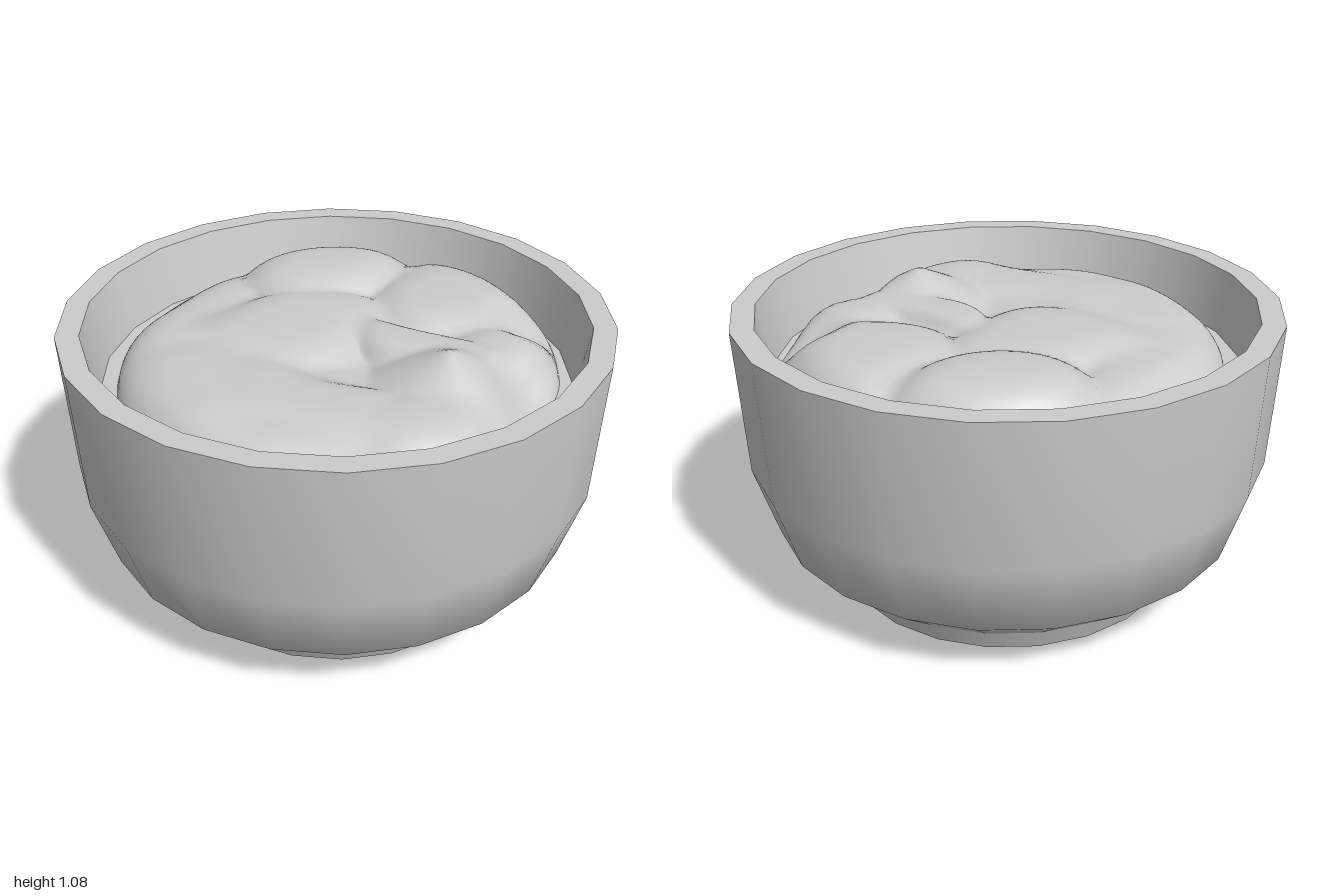
import * as THREE from 'three';
import { mergeVertices } from 'three/addons/utils/BufferGeometryUtils.js';

const SIDES = 22;
const RIM = 1.07;
const FLOOR = 0.84;
const BASE = 0.95;

// Folds of the filling: centre x, centre z, half length, half width, turn, top height
const FOLDS = [
  [-0.1, -0.16, 0.4, 0.28, 0.3, 1.02],
  [-0.5, 0.08, 0.36, 0.34, 0.2, 0.99],
  [-0.4, -0.42, 0.42, 0.18, -0.6, 0.98],
  [-0.2, 0.42, 0.55, 0.2, 1.0, 1.0],
  [-0.5, 0.4, 0.35, 0.16, 0.8, 0.98],
  [0.02, 0.62, 0.25, 0.2, 0.2, 1.0],
  [0.55, -0.14, 0.36, 0.34, -0.5, 1.025],
  [0.25, 0.24, 0.36, 0.12, 1.1, 1.02],
  [0.48, 0.34, 0.28, 0.16, -0.7, 1.0],
];

// Radius of the filling every 30 degrees, from +x towards +z
const OUTLINE = [0.86, 0.82, 0.78, 0.86, 0.85, 0.82, 0.81, 0.8, 0.79, 0.8, 0.82, 0.84];

// Blends two heights with a rounded seam
const smoothMax = (a, b, k) => Math.max(a, b) + Math.max(k - Math.abs(a - b), 0) ** 2 / (4 * k);

function foldHeight(x, z, [cx, cz, a, b, turn, top]) {
  const dx = x - cx, dz = z - cz;
  const u = (dx * Math.cos(turn) + dz * Math.sin(turn)) / a;
  const v = (dz * Math.cos(turn) - dx * Math.sin(turn)) / b;
  return BASE + (top - BASE) * (1 - (u * u + v * v) ** 2);
}

function fillingHeight(x, z) {
  const wx = x + 0.04 * Math.sin(9 * z + 3 * x);
  const wz = z + 0.04 * Math.sin(8 * x - 3 * z);
  let y = BASE + 0.012 * Math.sin(10 * wx + 3) * Math.sin(9 * wz);
  for (const fold of FOLDS) y = smoothMax(y, foldHeight(wx, wz, fold), 0.03);
  // Broad smooth scoop at the back, with a sharper edge
  y = smoothMax(y, foldHeight(x, z, [0.22, -0.53, 0.36, 0.3, 0, 1.05]), 0.008);
  // Pointed peak near the front, then dips at the right and front right
  const near = (px, pz, r) => Math.max(0, 1 - Math.hypot(x - px, z - pz) / r);
  y = smoothMax(y, 0.94 + 0.145 * near(0.22, 0.43, 0.3), 0.01);
  const dip = (px, pz, r) => near(px, pz, r) ** 2 * (3 - 2 * near(px, pz, r));
  return y - 0.07 * dip(0.72, 0.2, 0.2) - 0.09 * dip(0.48, 0.62, 0.24);
}

function outlineRadius(angle) {
  const s = angle / (Math.PI / 6);
  const i = Math.floor(s);
  const from = OUTLINE[i % 12], to = OUTLINE[(i + 1) % 12];
  return THREE.MathUtils.lerp(from, to, THREE.MathUtils.smoothstep(s - i, 0, 1));
}

function createFilling(material) {
  const geometry = new THREE.PlaneGeometry(1, 1, 110, 44);
  geometry.deleteAttribute('uv');
  geometry.deleteAttribute('normal');
  const p = geometry.attributes.position;
  for (let i = 0; i < p.count; i++) {
    const angle = (p.getX(i) + 0.5) * Math.PI * 2;
    const t = 1 - (0.5 - p.getY(i)) ** 1.2;
    const r = t * outlineRadius(angle);
    const x = r * Math.cos(angle), z = r * Math.sin(angle);
    // The side slopes down to the floor
    const drop = Math.max(0, 1 - t ** 12) ** 0.7;
    p.setXYZ(i, x, FLOOR + (fillingHeight(x, z) - FLOOR) * drop, z);
  }
  const merged = mergeVertices(geometry, 1e-4);
  merged.computeVertexNormals();
  const mesh = new THREE.Mesh(merged, material);
  mesh.name = 'filling';
  return mesh;
}

export function createModel() {
  const model = new THREE.Group();
  model.name = 'filledBowl';
  const material = new THREE.MeshStandardMaterial({ color: 0xcccccc });

  // Each section is its own lathe, so the edges between sections stay sharp
  const sections = {
    footBase: [[0, 0], [0.65, 0]],
    foot: [[0.65, 0], [0.685, 0.085]],
    outerWall: [[0.685, 0.085], [0.89, 0.25], [0.975, 0.53], [1, RIM]],
    rim: [[1, RIM], [0.915, RIM]],
    innerWall: [[0.915, RIM], [0.865, FLOOR]],
    innerFloor: [[0.865, FLOOR], [0, FLOOR]],
  };
  for (const [name, profile] of Object.entries(sections)) {
    const points = profile.map(([r, y]) => new THREE.Vector2(r, y));
    const mesh = new THREE.Mesh(new THREE.LatheGeometry(points, SIDES, Math.PI / 2), material);
    mesh.name = name;
    model.add(mesh);
  }

  model.add(createFilling(material));
  return model;
}
